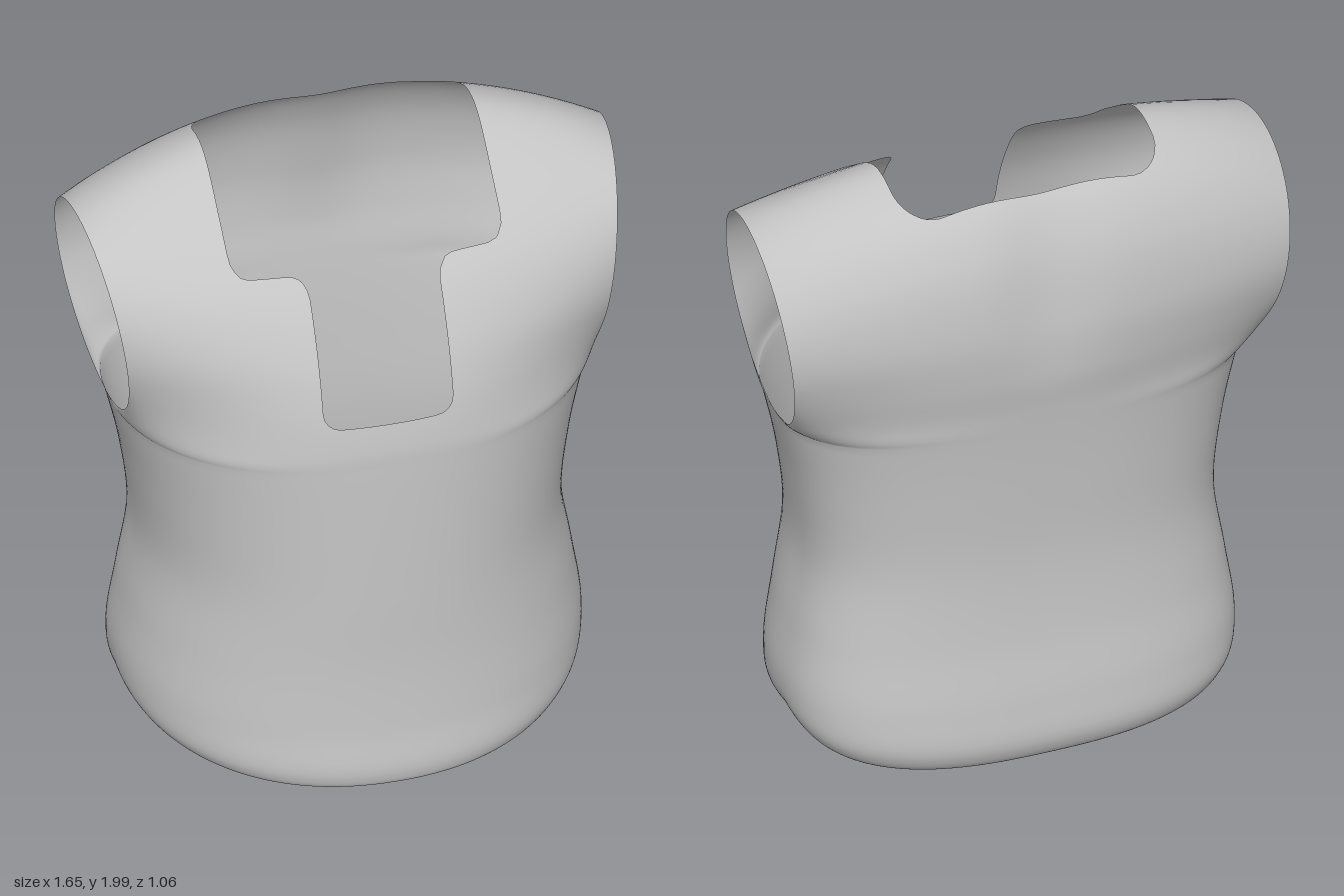
import * as THREE from 'three';
import { mergeVertices } from 'three/addons/utils/BufferGeometryUtils.js';

const V = (x, y, z) => new THREE.Vector3(x, y, z);
const spline = (pts) => new THREE.CatmullRomCurve3(pts);

// Centre line [y, z]: front hem, up the chest, over the shoulders, down the back
const frontLine = [[0.04, 0.47], [0.015, 0.515], [0.06, 0.53], [0.2, 0.515], [0.42, 0.5], [0.68, 0.495], [0.95, 0.488], [1.17, 0.48]];
const archLine = [[1.24, 0.475], [1.38, 0.445], [1.54, 0.38], [1.72, 0.26], [1.89, 0.05], [2.03, -0.18],
  [1.955, -0.385], [1.79, -0.495], [1.56, -0.54], [1.38, -0.535], [1.25, -0.515]];
const backLine = [[1.17, -0.505], [0.95, -0.487], [0.68, -0.475], [0.42, -0.49], [0.2, -0.52], [0.06, -0.525], [0.0, -0.49], [0.03, -0.43]];
const centre = spline([...frontLine, ...archLine, ...backLine].map(([y, z]) => V(0, y, z)));

// Side seam [x, y] from the turned-in hem up to the bottom of the armhole
const seam = spline([[0.6, 0.07], [0.66, 0.08], [0.7, 0.13], [0.712, 0.22], [0.685, 0.42], [0.65, 0.66], [0.678, 0.93], [0.73, 1.17]]
  .map(([x, y]) => V(x, y, -0.105)));

const SEAM = 7, ARCH = 12, TOTAL = SEAM * 2 + ARCH;

// Outer edge of the cloth: seam, around the armhole, seam again
function edgePoint(v) {
  if (v <= SEAM) return seam.getPoint(v / SEAM);
  if (v >= SEAM + ARCH) return seam.getPoint((TOTAL - v) / SEAM);
  const a = ((v - SEAM) / ARCH) * Math.PI * 2 - Math.PI / 2;
  const c = Math.cos(a), s = Math.sin(a);
  return V(0.775 + 0.045 * s - 0.025 * c, 1.51 + 0.34 * s, -0.105 + 0.31 * c);
}

// One row of cloth points across the body
function clothRow(v, columns) {
  const mid = centre.getPoint(v / TOTAL), edge = edgePoint(v);
  const n = v < TOTAL / 2 ? 2.15 : 2.6;
  const inArch = Math.min(v - SEAM, SEAM + ARCH - v);
  const flat = THREE.MathUtils.smoothstep(inArch, 0, 2.5);
  const row = [];
  for (let i = 0; i <= columns; i++) {
    const s = Math.sin((i / columns - 0.5) * Math.PI), t = Math.min(1, Math.abs(s));
    const round = 1 - Math.pow(Math.max(0, 1 - Math.pow(t, n)), 1 / n);
    const w = THREE.MathUtils.lerp(round, Math.pow(t, 2.2), flat);
    const p = V(s * edge.x, THREE.MathUtils.lerp(mid.y, edge.y, w), THREE.MathUtils.lerp(mid.z, edge.z, w));
    // shallow hollow along the upper spine
    p.z += 0.03 * Math.exp(-((p.x / 0.15) ** 2) - (((v - 15.2) / 1.6) ** 2));
    row.push(p);
  }
  return row;
}

// Signed distance to a rounded rectangle spanning a0..a1 by b0..b1
function roundedRect(a, b, a0, a1, b0, b1, r) {
  const da = Math.abs(a - (a0 + a1) / 2) - (a1 - a0) / 2 + r;
  const db = Math.abs(b - (b0 + b1) / 2) - (b1 - b0) / 2 + r;
  return Math.hypot(Math.max(da, 0), Math.max(db, 0)) + Math.min(Math.max(da, db), 0) - r;
}

// Neck opening with its front slot: negative inside the hole
function neckField(p) {
  const collar = Math.max(
    roundedRect(p.x, p.z, -0.42, 0.42, -0.39, 2, 0.12),
    roundedRect(p.x, p.y, -0.42, 0.42, 1.75, 4, 0.05));
  const slot = Math.max(roundedRect(p.x, p.y, -0.2, 0.2, 1.325, 4, 0.05), -p.z);
  const k = 0.06, h = Math.max(k - Math.abs(collar - slot), 0) / k;
  return Math.min(collar, slot) - h * h * k * 0.25;
}

// Keep only the part of a triangle outside the neck opening
function clip(tri) {
  const out = [];
  tri.forEach((a, i) => {
    const b = tri[(i + 1) % 3], fa = neckField(a), fb = neckField(b);
    if (fa >= 0) out.push(a);
    if ((fa >= 0) !== (fb >= 0)) out.push(a.clone().lerp(b, fa / (fa - fb)));
  });
  return out;
}

function vestGeometry() {
  const columns = 96, rows = TOTAL * 7;
  const grid = [];
  for (let j = 0; j <= rows; j++) grid.push(clothRow((j / rows) * TOTAL, columns));
  const positions = [];
  const add = (a, b, c) => {
    const poly = clip([a, b, c]);
    for (let i = 1; i + 1 < poly.length; i++) {
      for (const p of [poly[0], poly[i], poly[i + 1]]) positions.push(p.x, p.y, p.z);
    }
  };
  for (let j = 0; j < rows; j++) {
    for (let i = 0; i < columns; i++) {
      const a = grid[j][i], b = grid[j][i + 1], c = grid[j + 1][i + 1], d = grid[j + 1][i];
      add(a, b, c);
      add(a, c, d);
    }
  }
  const geometry = new THREE.BufferGeometry();
  geometry.setAttribute('position', new THREE.Float32BufferAttribute(positions, 3));
  // welding closes the side seams so the shading runs smoothly across them
  const welded = mergeVertices(geometry, 1e-4);
  welded.computeVertexNormals();
  return welded;
}

export function createModel() {
  const cloth = new THREE.MeshStandardMaterial({ color: 0xc4c4c4, side: THREE.DoubleSide });
  cloth.name = 'grey cloth';
  const vest = new THREE.Mesh(vestGeometry(), cloth);
  vest.name = 'vest';
  const group = new THREE.Group();
  group.name = 'sleeveless top';
  group.add(vest);
  return group;
}
